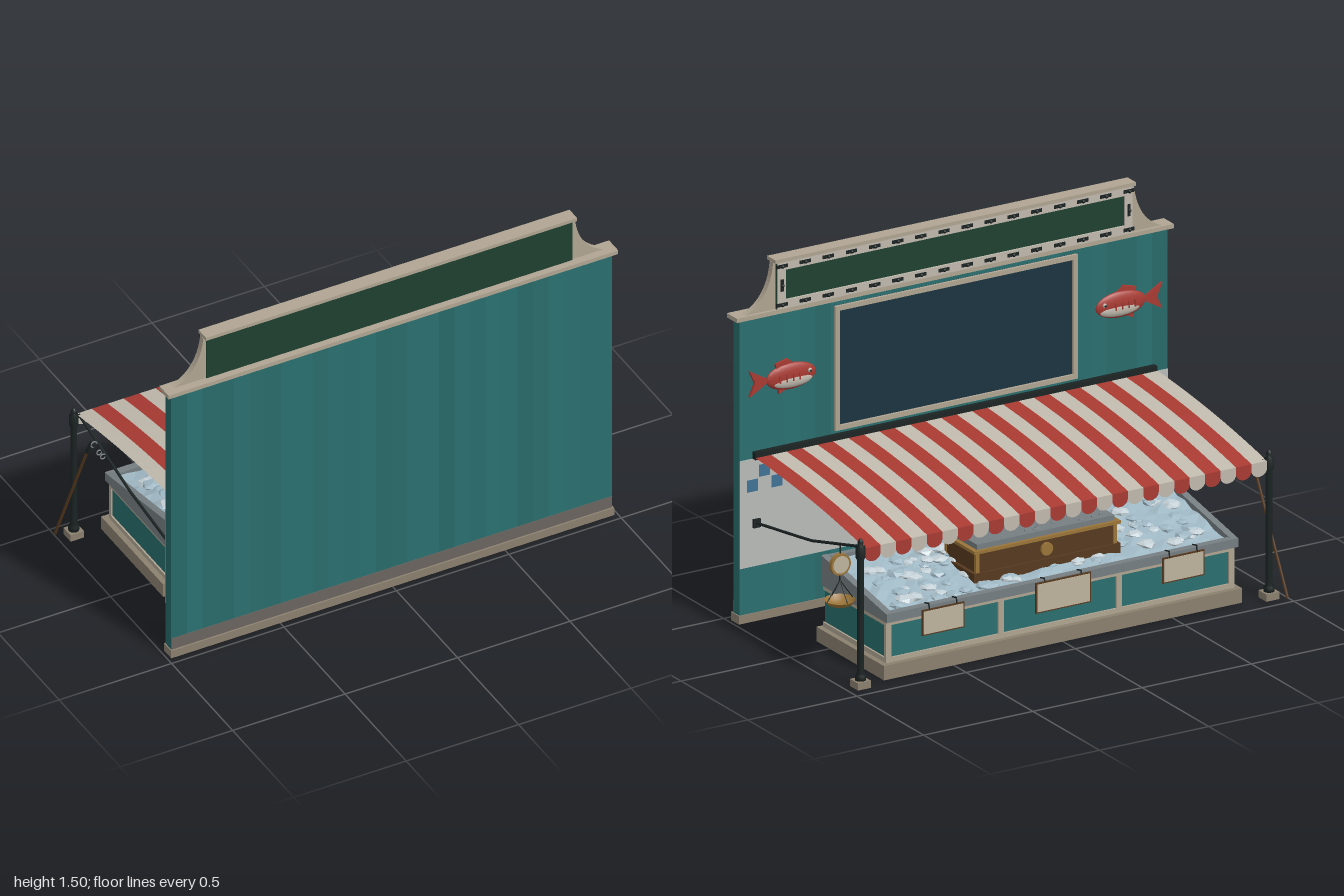
import * as THREE from 'three';

const C = {
  teal: 0x2a6e6e, trim: 0xb0a592, base: 0x8b806f, green: 0x1f4030, iron: 0x1b2423,
  red: 0xa83a32, cream: 0xc0b9ad, board: 0x1b3340, tile: 0xb9bbb8, blue: 0x3f7396, metal: 0x767e82,
  ice: 0x9fb8c4, iceLight: 0xc3d0d6, wood: 0x57391f, brass: 0x9a7438, card: 0xbdb49c, dirt: 0x6a645e, under: 0x5a5044,
};
const mats = {};
function mat(color, flat = false) {
  const k = color + '_' + flat;
  return mats[k] ??= new THREE.MeshStandardMaterial({ color, flatShading: flat, side: THREE.DoubleSide });
}
function add(parent, name, geo, color, pos = [0, 0, 0], flat = false) {
  const m = new THREE.Mesh(geo, mat(color, flat));
  m.name = name;
  m.position.set(...pos);
  parent.add(m);
  return m;
}
// Box given by its minimum and maximum on each axis
function box(parent, name, color, x0, x1, y0, y1, z0, z1) {
  return add(parent, name, new THREE.BoxGeometry(x1 - x0, y1 - y0, z1 - z0), color,
    [(x0 + x1) / 2, (y0 + y1) / 2, (z0 + z1) / 2]);
}
// Round bar through a list of points
function bar(parent, name, color, r, ...pts) {
  const path = new THREE.CurvePath();
  const v = pts.map(p => new THREE.Vector3(...p));
  for (let i = 1; i < v.length; i++) path.add(new THREE.LineCurve3(v[i - 1], v[i]));
  return add(parent, name, new THREE.TubeGeometry(path, (v.length - 1) * 4, r, 8), color);
}
// Four strips framing a rectangle in the XY plane
function frame(parent, name, color, x, y0, y1, t, z0, z1) {
  box(parent, name, color, -x, x, y1 - t, y1, z0, z1);
  box(parent, name, color, -x, x, y0, y0 + t, z0, z1);
  for (const s of [-1, 1]) box(parent, name, color, s * (x - t / 2) - t / 2, s * (x - t / 2) + t / 2, y0 + t, y1 - t, z0, z1);
}
const lathe = (pts, n) => new THREE.LatheGeometry(pts.map(q => new THREE.Vector2(...q)), n);
const plate = (pts, depth) => new THREE.ExtrudeGeometry(new THREE.Shape(pts.map(q => new THREE.Vector2(...q))), { depth, bevelEnabled: false });
let seed = 7;
const rnd = () => (seed = (seed * 16807) % 2147483647) / 2147483647;
const group = (parent, name) => { const g = new THREE.Group(); g.name = name; parent.add(g); return g; };

function buildWall(root) {
  const g = group(root, 'backWall');
  const n = 28, w = 1.96 / n;
  for (let i = 0; i < n; i++) {
    const c = new THREE.Color(C.teal).multiplyScalar(0.88 + 0.2 * rnd()).getHex();
    box(g, 'wallPlank', c, -0.98 + i * w, -0.98 + (i + 1) * w, 0.03, 1.27, 0.415, 0.46);
  }
  box(g, 'wallPlinth', C.base, -0.985, 0.985, 0, 0.035, 0.41, 0.47);
  box(g, 'dirtBand', C.dirt, -0.98, 0.98, 0.035, 0.088, 0.459, 0.462);
  box(g, 'cornice', C.trim, -1, 1, 1.267, 1.285, 0.4, 0.475);
  // Tiled band under the awning, with two staggered rows of blue tiles
  box(g, 'tilePanel', C.tile, -0.98, 0.98, 0.23, 0.68, 0.411, 0.416);
  for (let r = 0; r < 2; r++) for (let i = 0; i < 17; i++) {
    const x = -0.95 + i * 0.112 + r * 0.056;
    box(g, 'blueTile', C.blue, x, x + 0.05, 0.6 - r * 0.056, 0.65 - r * 0.056, 0.4095, 0.412);
  }
  // Chalkboard
  box(g, 'chalkboard', C.board, -0.545, 0.545, 0.735, 1.245, 0.401, 0.416);
  frame(g, 'chalkboardFrame', C.trim, 0.555, 0.73, 1.25, 0.02, 0.39, 0.402);
}

function buildSign(root) {
  const g = group(root, 'signBoard');
  box(g, 'signPanel', C.green, -0.814, 0.814, 1.285, 1.482, 0.408, 0.445);
  for (const s of [-1, 1]) box(g, 'signEnd', C.trim, s * 0.814 - 0.003, s * 0.814 + 0.003, 1.285, 1.482, 0.414, 0.44);
  box(g, 'signCap', C.trim, -0.825, 0.825, 1.48, 1.495, 0.398, 0.46);
  frame(g, 'signBorder', C.cream, 0.812, 1.285, 1.482, 0.036, 0.4, 0.412);
  // Small lamps on dark sockets around the border
  const lamp = new THREE.SphereGeometry(0.008, 10, 6);
  const spots = [];
  for (let i = 0; i < 16; i++) for (const y of [1.303, 1.464]) spots.push([-0.794 + i * 1.588 / 15, y, 0.025, 0.007]);
  for (const s of [-1, 1]) spots.push([s * 0.794, 1.384, 0.007, 0.025]);
  for (const [x, y, a, b] of spots) {
    add(g, 'lamp', lamp, C.iron, [x, y, 0.394]);
    box(g, 'lampSocket', C.iron, x - a, x + a, y - b, y + b, 0.397, 0.402);
  }
  // Concave scroll brackets
  const s = new THREE.Shape();
  s.moveTo(0.81, 1.285);
  s.lineTo(0.955, 1.285);
  s.bezierCurveTo(0.88, 1.31, 0.835, 1.38, 0.826, 1.48);
  s.lineTo(0.81, 1.48);
  const geo = new THREE.ExtrudeGeometry(s, { depth: 0.026, bevelEnabled: false, curveSegments: 14 });
  add(g, 'scrollBracket', geo, C.trim, [0, 0, 0.414]);
  add(g, 'scrollBracket', geo.clone().rotateY(Math.PI), C.trim, [0, 0, 0.44]);
}

// Wall fish, nose towards the middle
function buildFish(root, side) {
  const g = group(root, 'wallFish');
  g.position.set(side * 0.79, 1.0, 0.398);
  g.scale.x = side;
  add(g, 'fishBody', new THREE.SphereGeometry(1, 20, 12).scale(0.115, 0.055, 0.018), C.red, [-0.035, 0, 0]);
  add(g, 'fishBelly', new THREE.SphereGeometry(1, 16, 10).scale(0.095, 0.03, 0.016), C.cream, [-0.04, -0.018, -0.004]);
  add(g, 'tailFin', plate([[0.06, 0], [0.155, 0.055], [0.13, 0], [0.155, -0.055]], 0.012), C.red, [0, 0, -0.004]);
  add(g, 'topFin', plate([[-0.07, 0.035], [-0.02, 0.075], [0.035, 0.06], [0.03, 0.03]], 0.012), C.red, [0, 0, -0.004]);
  add(g, 'bottomFin', plate([[-0.03, -0.04], [0.02, -0.066], [0.025, -0.03]], 0.012), C.red, [0, 0, -0.004]);
  add(g, 'fishEye', new THREE.SphereGeometry(0.009, 10, 8), C.cream, [-0.115, 0.012, -0.013]);
  add(g, 'fishPupil', new THREE.SphereGeometry(0.005, 8, 6), C.iron, [-0.115, 0.012, -0.02]);
  for (let i = 0; i < 4; i++) box(g, 'fishStripe', C.red, -0.07 + i * 0.03, -0.064 + i * 0.03, -0.016, 0.014, -0.021, -0.015);
}

function buildAwning(root) {
  const g = group(root, 'awning');
  const n = 26, w = 1.84 / n;
  const cloth = new THREE.PlaneGeometry(w, 1, 1, 10);
  const p = cloth.attributes.position;
  // Sweep each stripe from the wall rail to the front with a slight bulge
  for (let i = 0; i < p.count; i++) {
    const t = 0.5 - p.getY(i);
    p.setXYZ(i, p.getX(i), 0.69 - 0.11 * t + 0.06 * t * (1 - t), 0.39 - 0.82 * t);
  }
  cloth.computeVertexNormals();
  const flap = new THREE.Shape();
  flap.moveTo(-w / 2, 0);
  flap.lineTo(-w / 2, -0.03);
  flap.absellipse(0, -0.03, w / 2, 0.03, Math.PI, Math.PI * 2, false);
  flap.lineTo(w / 2, 0);
  const flapGeo = new THREE.ShapeGeometry(flap, 8).rotateY(Math.PI);
  for (let i = 0; i < n; i++) {
    const x = -0.92 + (i + 0.5) * w, c = i % 2 ? C.red : C.cream;
    add(g, 'awningStripe', cloth, c, [x, 0, 0]);
    add(g, 'valanceFlap', flapGeo, c, [x, 0.58, -0.43]);
  }
  box(g, 'awningRail', C.iron, -0.92, 0.92, 0.68, 0.71, 0.392, 0.415);
  bar(g, 'frontBar', C.iron, 0.006, [-0.93, 0.572, -0.42], [0.93, 0.572, -0.42]);
  for (const s of [-1, 1]) {
    const x = s * 0.935;
    box(g, 'postFoot', C.base, x - 0.03, x + 0.03, 0, 0.03, -0.45, -0.39);
    add(g, 'post', lathe([[0, 0.03], [0.022, 0.03], [0.022, 0.05], [0.014, 0.06], [0.013, 0.53],
      [0.019, 0.54], [0.019, 0.585], [0.009, 0.59], [0.012, 0.605], [0.006, 0.618], [0, 0.62]], 12), C.iron, [x, 0, -0.42]);
    box(g, 'armPlate', C.iron, s * 0.905 - 0.016, s * 0.905 + 0.016, 0.392, 0.428, 0.402, 0.414);
    bar(g, 'supportArm', C.iron, 0.006, [s * 0.905, 0.41, 0.41], [s * 0.907, 0.47, 0], [s * 0.912, 0.58, -0.42]);
  }
  // Hooks below the rail
  for (let i = 0; i < 7; i++) {
    const hook = add(g, 'hook', new THREE.TorusGeometry(0.012, 0.003, 6, 12, Math.PI * 1.3), C.metal, [-0.75 + i * 0.25, 0.635, 0.385]);
    hook.rotation.set(0, Math.PI / 2, Math.PI);
    bar(g, 'hookStem', C.metal, 0.003, [-0.75 + i * 0.25, 0.65, 0.41], [-0.75 + i * 0.25, 0.65, 0.39]);
  }
}

function buildCounter(root) {
  const g = group(root, 'counter');
  // Hollow plinth, open below
  box(g, 'counterBaseTop', C.under, -0.805, 0.805, 0.042, 0.058, -0.393, 0.085);
  box(g, 'counterLedge', C.base, -0.82, 0.82, 0.056, 0.06, -0.408, 0.1);
  for (const z of [-0.408, 0.082]) box(g, 'plinthSide', C.base, -0.82, 0.82, 0, 0.057, z, z + 0.018);
  for (const x of [-0.82, 0.802]) box(g, 'plinthEnd', C.base, x, x + 0.018, 0, 0.057, -0.395, 0.085);
  box(g, 'counterBody', C.teal, -0.79, 0.79, 0.06, 0.236, -0.377, 0.082);
  for (const y of [0.06, 0.215]) box(g, 'counterTrim', C.trim, -0.797, 0.797, y, y + 0.02, -0.385, 0.087);
  for (const x of [-0.785, -0.27, 0.27, 0.785]) box(g, 'panelDivider', C.trim, x - 0.012, x + 0.012, 0.06, 0.235, -0.386, -0.37);
  // Sloping display tray with ice sunk below its rim
  const sideGeo = plate([[-0.088, 0.235], [0.405, 0.235], [0.405, 0.27], [-0.088, 0.36]], 0.03).rotateY(Math.PI / 2);
  for (const x of [-0.805, 0.775]) add(g, 'traySide', sideGeo, C.metal, [x, 0, 0]);
  box(g, 'trayBack', C.metal, -0.775, 0.775, 0.235, 0.358, 0.06, 0.088);
  box(g, 'trayLip', C.metal, -0.805, 0.805, 0.235, 0.272, -0.405, -0.372);
  const iceY = z => 0.253 + (z + 0.38) * 0.19;
  const bed = new THREE.PlaneGeometry(1.56, 0.44, 28, 8).rotateX(-Math.PI / 2);
  const p = bed.attributes.position;
  for (let i = 0; i < p.count; i++) p.setY(i, iceY(p.getZ(i) - 0.157) + (rnd() - 0.5) * 0.016);
  add(g, 'iceBed', bed, C.ice, [0, 0, -0.157], true);
  for (let i = 0; i < 110; i++) {
    const z = -0.335 + rnd() * 0.36, x = (rnd() - 0.5) * 1.46;
    const chunk = new THREE.IcosahedronGeometry(0.024 + rnd() * 0.022, 0).rotateX(rnd() * 3).rotateZ(rnd() * 3).scale(1, 0.4, 1);
    add(g, 'iceChunk', chunk, i % 2 ? C.iceLight : C.ice, [x, iceY(z), z], true);
  }
  // Price cards hung on the customer side
  for (const [x, w, h] of [[-0.55, 0.18, 0.095], [0, 0.24, 0.115], [0.55, 0.18, 0.095]]) {
    box(g, 'cardBorder', C.wood, x - w / 2 - 0.006, x + w / 2 + 0.006, 0.199 - h / 2, 0.211 + h / 2, -0.411, -0.404);
    box(g, 'priceCard', C.card, x - w / 2, x + w / 2, 0.205 - h / 2, 0.205 + h / 2, -0.414, -0.408);
    for (const s of [-1, 1]) bar(g, 'cardHook', C.iron, 0.003, [x + s * w * 0.35, 0.25, -0.41], [x + s * w * 0.35, 0.28, -0.405], [x + s * w * 0.35, 0.274, -0.375]);
  }
}

function buildChest(root) {
  const g = group(root, 'woodenChest');
  box(g, 'chestFoot', C.wood, -0.335, 0.335, 0.26, 0.308, -0.29, -0.04);
  box(g, 'chestBody', C.wood, -0.32, 0.32, 0.3, 0.395, -0.28, -0.05);
  box(g, 'chestRim', C.brass, -0.335, 0.335, 0.39, 0.403, -0.293, -0.035);
  box(g, 'chestTop', C.metal, -0.315, 0.315, 0.403, 0.425, -0.278, -0.05);
  for (const x of [-0.315, 0.315]) for (const z of [-0.275, -0.055]) box(g, 'chestCorner', C.brass, x - 0.008, x + 0.008, 0.3, 0.392, z - 0.008, z + 0.008);
  add(g, 'chestMedallion', new THREE.CylinderGeometry(0.027, 0.027, 0.012, 20).rotateX(Math.PI / 2), C.brass, [0, 0.348, -0.284]);
  for (let i = 0; i < 30; i++) add(g, 'chestIce', new THREE.IcosahedronGeometry(0.012, 0), C.metal,
    [(rnd() - 0.5) * 0.58, 0.422, -0.164 + (rnd() - 0.5) * 0.19], true);
}

function buildScale(root) {
  const g = group(root, 'hangingScale');
  g.position.set(0.91, 0, -0.225);
  bar(g, 'scaleHanger', C.iron, 0.003, [-0.002, 0.53, 0], [0, 0.48, 0]);
  add(g, 'scaleDial', new THREE.CylinderGeometry(0.045, 0.045, 0.018, 24).rotateX(Math.PI / 2), C.brass, [0, 0.445, 0]);
  add(g, 'dialFace', new THREE.CylinderGeometry(0.036, 0.036, 0.003, 24).rotateX(Math.PI / 2), C.card, [0, 0.445, -0.009]);
  bar(g, 'scaleStem', C.iron, 0.003, [0, 0.4, 0], [0, 0.375, 0]);
  for (let i = 0; i < 4; i++) {
    const a = Math.PI / 2 * i;
    bar(g, 'panChain', C.iron, 0.002, [0, 0.378, 0], [0.058 * Math.cos(a), 0.297, 0.058 * Math.sin(a)]);
  }
  add(g, 'scalePan', lathe([[0, 0.27], [0.03, 0.272], [0.05, 0.281], [0.062, 0.298]], 24), C.brass);
}

function buildPole(root) {
  const g = group(root, 'awningPole');
  bar(g, 'poleShaft', C.wood, 0.006, [-0.993, 0.003, -0.465], [-0.95, 0.52, -0.275]);
  bar(g, 'poleTip', C.iron, 0.007, [-0.952, 0.5, -0.282], [-0.946, 0.56, -0.258]);
  add(g, 'poleHook', new THREE.TorusGeometry(0.013, 0.003, 6, 14, Math.PI * 1.4), C.metal, [-0.935, 0.55, -0.255]);
  // Rings hanging from the support arm
  for (const z of [-0.235, -0.205]) add(g, 'armRing', new THREE.TorusGeometry(0.011, 0.003, 6, 14), C.metal, [-0.922, 0.52, z]);
}

export function createModel() {
  const root = new THREE.Group();
  root.name = 'marketStall';
  buildWall(root);
  buildSign(root);
  for (const s of [-1, 1]) buildFish(root, s);
  buildAwning(root);
  buildCounter(root);
  buildChest(root);
  buildScale(root);
  buildPole(root);
  return root;
}
